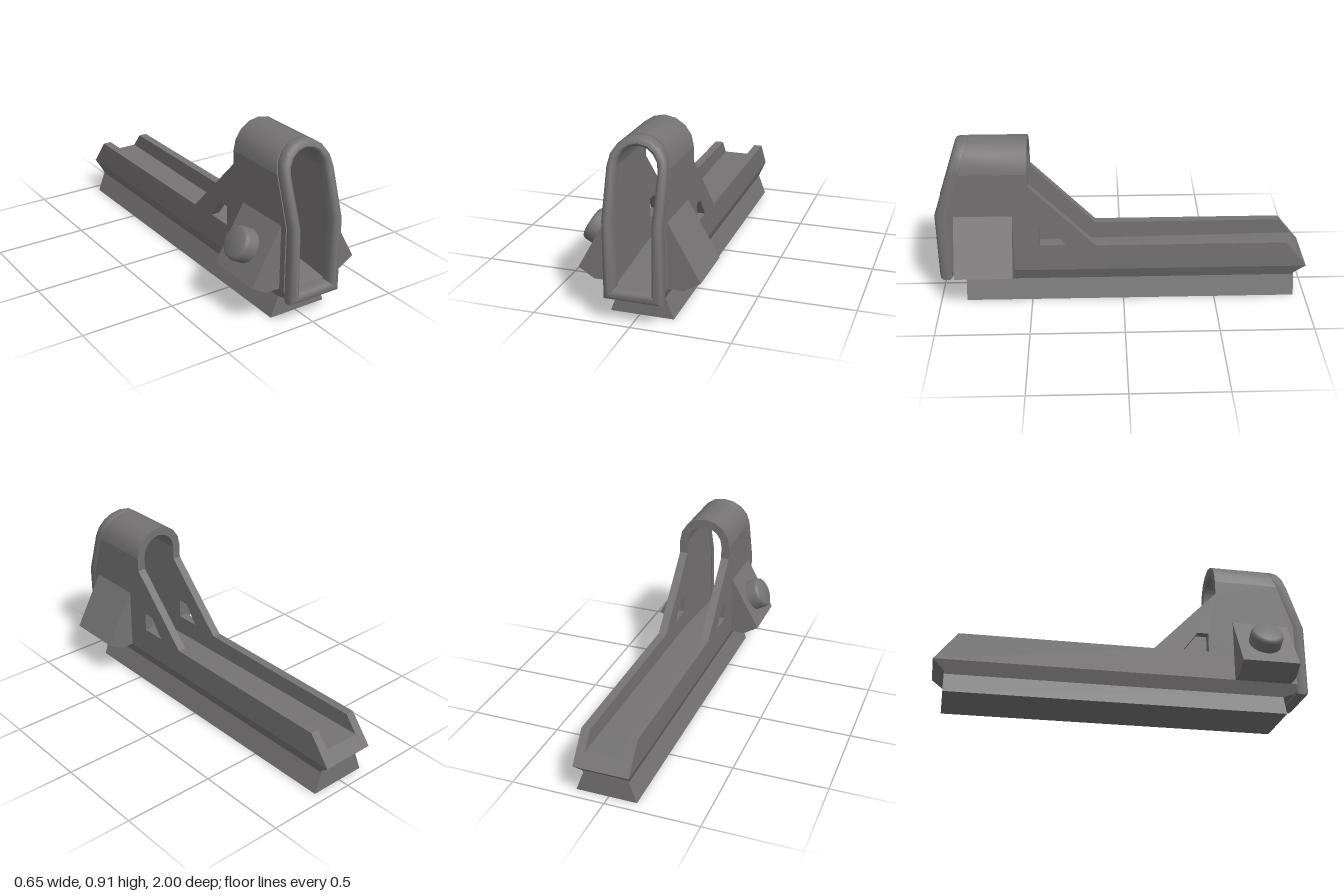
import * as THREE from 'three';
import { toCreasedNormals } from 'three/addons/utils/BufferGeometryUtils.js';

const gunmetal = new THREE.MeshStandardMaterial({ color: 0x757373 });
gunmetal.name = 'dark grey metal';

const OUTER = 0.148, INNER = 0.102, SPRING = 0.763;

// Front plane of the hood: upright below, leaning back above y = 0.52
const frontZ = (y) => 1 - Math.max(0, y - 0.52) / 3;

const toShape = (pts) => new THREE.Shape(pts.map(([a, b]) => new THREE.Vector2(a, b)));

function part(name, geometry, crease = 0.6) {
  const mesh = new THREE.Mesh(toCreasedNormals(geometry, crease), gunmetal);
  mesh.name = name;
  return mesh;
}

// Side profile of (z, y) points, extruded across x and centred on x
function sideExtrude(pts, width, x = 0, hole = null) {
  const shape = toShape(pts);
  if (hole) shape.holes.push(toShape(hole));
  const g = new THREE.ExtrudeGeometry(shape, { depth: width, bevelEnabled: false });
  return g.translate(0, 0, -width / 2).rotateY(-Math.PI / 2).translate(x, 0, 0);
}

// Front profile of (x, y) points, extruded from z0 to z1
function frontExtrude(pts, z0, z1) {
  const g = new THREE.ExtrudeGeometry(toShape(pts), { depth: z1 - z0, bevelEnabled: false });
  return g.translate(0, 0, z0);
}

// Sweep a closed section along paired outer and inner outlines.
// Each section entry is [blend from inner to outer, z as a function of y].
function sweepFrame(pairs, section, closed) {
  const pos = [], index = [], n = pairs.length, m = section.length;
  for (const [o, q] of pairs) {
    for (const [t, z] of section) {
      const y = q[1] + (o[1] - q[1]) * t;
      pos.push(q[0] + (o[0] - q[0]) * t, y, z(y));
    }
  }
  for (let i = 0; i < (closed ? n : n - 1); i++) {
    for (let j = 0; j < m; j++) {
      const i2 = (i + 1) % n, j2 = (j + 1) % m;
      const a = i * m + j, b = i2 * m + j, c = i2 * m + j2, d = i * m + j2;
      index.push(a, b, c, a, c, d);
    }
  }
  const g = new THREE.BufferGeometry();
  g.setAttribute('position', new THREE.Float32BufferAttribute(pos, 3));
  g.setIndex(index);
  return g;
}

export function createModel() {
  const model = new THREE.Group();
  model.name = 'hoodedRail';
  model.position.x = 0.012;

  // Semicircular top shared by the rim and the hood
  const arch = [];
  for (let i = 0; i <= 8; i++) {
    const a = (i / 8) * Math.PI, c = Math.cos(a), s = Math.sin(a);
    arch.push([[OUTER * c, SPRING + OUTER * s], [INNER * c, SPRING + INNER * s]]);
  }

  // Rounded front rim
  const rimPath = [
    [[OUTER, 0.125], [0.092, 0.18]], [[OUTER, 0.52], [0.098, 0.52]],
    ...arch,
    [[-OUTER, 0.52], [-0.098, 0.52]], [[-OUTER, 0.125], [-0.092, 0.18]],
  ];
  const rimSection = [
    [0.85, -0.066], [1, -0.055], [1, -0.02], [0.85, -0.005], [0.6, 0],
    [0.35, 0], [0.1, -0.01], [0, -0.025], [0, -0.066],
  ].map(([t, dz]) => [t, (y) => frontZ(y) + dz]);
  model.add(part('frontRim', sweepFrame(rimPath, rimSection, true), 0.8));

  // Arched roof of the hood
  const hoodFront = (y) => frontZ(y) - 0.064, hoodBack = () => 0.5;
  const hoodSection = [[1, hoodBack], [1, hoodFront], [0, hoodFront], [0, hoodBack]];
  model.add(part('hoodRoof', sweepFrame(arch, hoodSection, false)));

  // Side walls: hood cheek, diagonal strut with window, and rail wall in one profile
  const wall = [
    [-1, 0.18], [-0.88, 0.33], [0.15, 0.33], [0.5, 0.69], [0.5, SPRING],
    [hoodFront(SPRING), SPRING], [hoodFront(0.52), 0.52], [hoodFront(0), 0.18],
  ];
  const gap = [[0.31, 0.335], [0.45, 0.335], [0.45, 0.44], [0.39, 0.44]];
  for (const [side, s] of [['left', 1], ['right', -1]]) {
    const x = s * (OUTER + INNER) / 2;
    model.add(part(side + 'Wall', sideExtrude(wall, OUTER - INNER, x, gap)));

    // Sloping fin beside the hood
    const fin = [[0.13, 0.55], [0.31, 0.23], [0.228, 0.18], [0.13, 0.18]];
    model.add(part(side + 'Fin', frontExtrude(fin.map(([a, b]) => [s * a, b]), 0.59, 0.9)));
  }

  // Trough floor between the walls
  const floor = [[0.935, 0.15], [0.935, 0.18], [0.5, 0.225], [-0.947, 0.245], [-0.999, 0.18], [-0.95, 0.15]];
  model.add(part('railFloor', sideExtrude(floor, 0.23)));

  // Rail underside, tapering inward toward the foot
  const keel = [[0.935, 0.18], [-1, 0.18], [-0.94, 0.125], [-0.94, 0.11], [0.86, 0.11], [0.92, 0.13], [0.935, 0.15]];
  const under = sideExtrude(keel, OUTER * 2);
  const p = under.attributes.position;
  for (let i = 0; i < p.count; i++) {
    const t = Math.min(1, (p.getY(i) - 0.11) / 0.07);
    p.setX(i, p.getX(i) * (0.82 + 0.18 * t));
  }
  model.add(part('railUnderside', under));

  // Dovetail foot
  const foot = [[-0.1625, 0], [0.1625, 0], [0.121, 0.112], [-0.121, 0.112]];
  model.add(part('dovetailFoot', frontExtrude(foot, -0.94, 0.86)));

  // Adjusting knob on the right fin
  const profile = [[0.088, -0.02], [0.088, 0.085], [0.082, 0.099], [0.07, 0.105], [0, 0.105]];
  const knob = part('knob', new THREE.LatheGeometry(profile.map(([r, y]) => new THREE.Vector2(r, y)), 20), 0.9);
  knob.position.set(-0.209, 0.354, 0.737);
  knob.rotation.z = THREE.MathUtils.degToRad(61);
  model.add(knob);

  const root = new THREE.Group();
  root.name = 'sight';
  root.add(model);
  return root;
}
